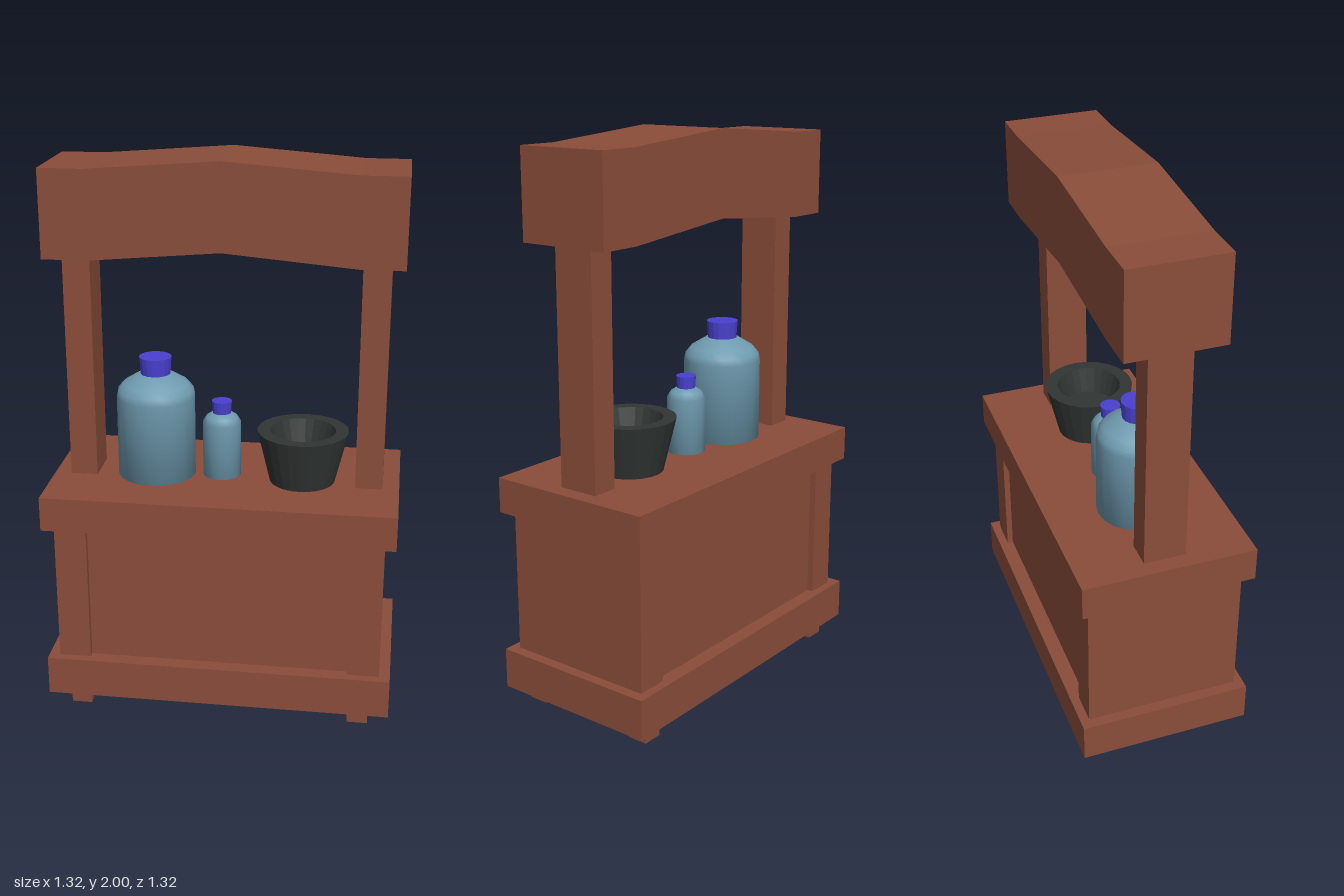
import * as THREE from 'three';

const mat = (color, extra = {}) => new THREE.MeshStandardMaterial({ color, ...extra });

export function createModel() {
  const wood = mat(0x8a4d3a, { flatShading: true });
  const glass = mat(0x6f9bb0);
  const capBlue = mat(0x4a40d0, { flatShading: true });
  const dark = mat(0x303533, { flatShading: true });

  const model = new THREE.Group();
  model.name = 'marketStall';
  // the whole stall stands diagonally
  const stall = new THREE.Group();
  stall.name = 'stall';
  stall.rotation.y = Math.PI / 4;
  model.add(stall);

  const add = (name, geometry, material, x, y, z, parent = stall) => {
    const mesh = new THREE.Mesh(geometry, material);
    mesh.name = name;
    mesh.position.set(x, y, z);
    parent.add(mesh);
    return mesh;
  };
  // box given by its bottom and top heights
  const box = (name, w, d, y0, y1, x = 0, z = 0) =>
    add(name, new THREE.BoxGeometry(w, y1 - y0, d), wood, x, (y0 + y1) / 2, z);
  const lathe = (points, sides) =>
    new THREE.LatheGeometry(points.map(([r, y]) => new THREE.Vector2(r, y)), sides);

  // counter
  box('baseSlab', 1.244, 0.622, 0.06, 0.205);
  box('counterTop', 1.244, 0.622, 0.72, 0.845);
  box('recessedPanels', 0.94, 0.514, 0.205, 0.72);
  for (const s of [-1, 1]) {
    box('counterEnd', 0.115, 0.558, 0.205, 0.72, s * 0.5255);
    box('canopyPost', 0.097, 0.15, 0.845, 1.68, s * 0.5145);
    for (const t of [-1, 1]) box('foot', 0.074, 0.074, 0, 0.06, s * 0.511, t * 0.23);
  }

  // canopy: shallow peaked beam with flat ends
  const half = 0.609, bend = 0.457;
  const outline = [
    [-half, 1.66], [-bend, 1.66], [0, 1.7], [bend, 1.66], [half, 1.66],
    [half, 1.965], [bend, 1.965], [0, 2], [-bend, 1.965], [-half, 1.965],
  ];
  const shape = new THREE.Shape(outline.map(([x, y]) => new THREE.Vector2(x, y)));
  add('canopy', new THREE.ExtrudeGeometry(shape, { depth: 0.34, bevelEnabled: false }),
    wood, 0, 0, -0.17);

  // bottles: smooth turned body, faceted cap
  const bottle = (name, x, z, body, capR, capY, capH) => {
    const group = new THREE.Group();
    group.name = name;
    group.position.set(x, 0.845, z);
    stall.add(group);
    add(name + 'Body', lathe(body, 20), glass, 0, 0, 0, group);
    add(name + 'Cap', new THREE.CylinderGeometry(capR, capR * 0.92, capH, 16),
      capBlue, 0, capY + capH / 2, 0, group);
  };
  bottle('largeBottle', -0.256, 0.013,
    [[0, 0], [0.141, 0], [0.141, 0.295], [0.136, 0.32], [0.117, 0.343], [0.06, 0.378], [0, 0.378]],
    0.058, 0.375, 0.065);
  bottle('smallBottle', -0.02, 0,
    [[0, 0], [0.069, 0], [0.069, 0.2], [0.056, 0.222], [0.034, 0.236], [0, 0.236]],
    0.036, 0.234, 0.046);

  // basin with thick rim and sunken floor
  add('basin', lathe([[0, 0], [0.117, 0], [0.163, 0.19], [0.117, 0.19], [0.09, 0.1], [0, 0.1]], 24),
    dark, 0.274, 0.845, 0.019);

  return model;
}
